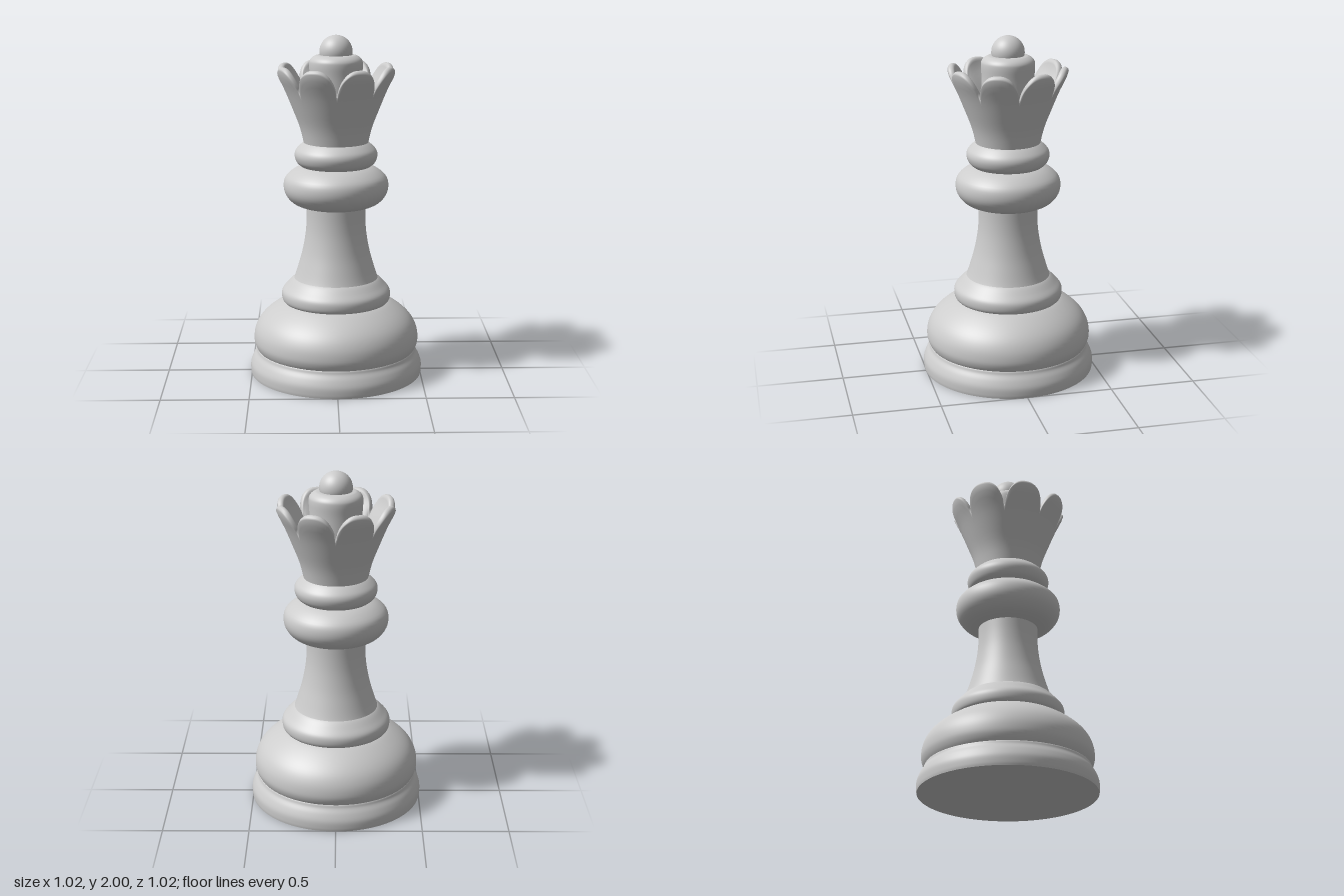
import * as THREE from 'three';

const SEGMENTS = 96;

// Turned part: a smooth curve through [radius, height] points, spun about y.
function turned(name, points, material, samples = 28) {
  const curve = new THREE.SplineCurve(points.map(([r, y]) => new THREE.Vector2(r, y)));
  const profile = curve.getPoints(samples).map((p) => new THREE.Vector2(Math.max(p.x, 0), p.y));
  const mesh = new THREE.Mesh(new THREE.LatheGeometry(profile, SEGMENTS), material);
  mesh.name = name;
  return mesh;
}

// Flared cup whose rim is cut into eight rounded petals.
function crownGeometry() {
  const PETALS = 8, PER_PETAL = 28, ROWS = 12, RIM = 6;
  const BOTTOM = 1.36, FLOOR = 1.48;
  const flare = new THREE.SplineCurve([
    [0.182, 1.36], [0.208, 1.47], [0.25, 1.58], [0.295, 1.69], [0.334, 1.77], [0.35, 1.83],
  ].map(([r, y]) => new THREE.Vector2(r, y))).getPoints(60);
  const outerRadius = (y) => {
    const i = flare.findIndex((p) => p.y >= y);
    if (i < 0) return flare[flare.length - 1].x;
    if (i === 0) return flare[0].x;
    const a = flare[i - 1], b = flare[i];
    return a.x + (b.x - a.x) * (y - a.y) / (b.y - a.y);
  };

  const columns = PETALS * PER_PETAL;
  const positions = [], index = [];
  let rows = 0;
  for (let i = 0; i < columns; i++) {
    const angle = (i / columns) * Math.PI * 2;
    const across = Math.abs(((i % PER_PETAL) / PER_PETAL) * 2 - 1);
    const dome = Math.pow(Math.max(0, 1 - Math.pow(across, 2.5)), 0.7);
    const top = 1.68 + 0.15 * dome;
    const rim = 0.022 + 0.022 * dome;
    const edge = top - rim / 2;
    const section = [];
    // Outside wall
    for (let k = 0; k <= ROWS; k++) {
      const y = BOTTOM + (edge - BOTTOM) * k / ROWS;
      section.push([outerRadius(y), y]);
    }
    // Rounded lip
    const mid = outerRadius(edge) - rim / 2;
    for (let k = 1; k < RIM; k++) {
      const a = Math.PI * k / RIM;
      section.push([mid + Math.cos(a) * rim / 2, edge + Math.sin(a) * rim / 2]);
    }
    // Inside wall down to the cup floor
    for (let k = 0; k <= ROWS; k++) {
      const t = k / ROWS;
      const y = edge + (FLOOR - edge) * t;
      section.push([outerRadius(y) - (rim + (0.06 - rim) * t), y]);
    }
    section.push([0.1, FLOOR - 0.01]);
    rows = section.length;
    for (const [r, y] of section) positions.push(r * Math.sin(angle), y, r * Math.cos(angle));
  }
  for (let i = 0; i < columns; i++) {
    const next = (i + 1) % columns;
    for (let j = 0; j < rows - 1; j++) {
      const a = i * rows + j, b = next * rows + j;
      index.push(a, b, b + 1, a, b + 1, a + 1);
    }
  }
  const geometry = new THREE.BufferGeometry();
  geometry.setAttribute('position', new THREE.Float32BufferAttribute(positions, 3));
  geometry.setIndex(index);
  geometry.computeVertexNormals();
  return geometry;
}

export function createModel() {
  const model = new THREE.Group();
  model.name = 'chessQueen';
  const grey = new THREE.MeshStandardMaterial({ color: 0xcccccc });
  grey.name = 'lightGrey';

  // Flat underside
  const underside = new THREE.Mesh(new THREE.CircleGeometry(0.505, SEGMENTS), grey);
  underside.rotation.x = Math.PI / 2;
  underside.name = 'underside';
  model.add(underside);

  // Foot, body and column
  model.add(
    turned('foot', [[0.505, 0], [0.508, 0.02], [0.507, 0.06], [0.492, 0.1], [0.474, 0.13],
      [0.467, 0.15], [0.45, 0.165]], grey),
    turned('baseBulge', [[0.46, 0.14], [0.477, 0.17], [0.486, 0.21], [0.478, 0.27], [0.447, 0.33],
      [0.39, 0.385], [0.31, 0.435], [0.25, 0.45]], grey),
    turned('lowerCollar', [[0.28, 0.425], [0.31, 0.44], [0.32, 0.47], [0.315, 0.505], [0.285, 0.54],
      [0.25, 0.575], [0.22, 0.59]], grey),
    turned('column', [[0.26, 0.55], [0.245, 0.58], [0.222, 0.65], [0.197, 0.74], [0.179, 0.84],
      [0.172, 0.93], [0.172, 1.02]], grey),
  );

  // Two rings below the crown
  model.add(
    turned('wideRing', [[0.15, 1.005], [0.2, 1.01], [0.255, 1.035], [0.293, 1.08], [0.305, 1.13],
      [0.293, 1.18], [0.25, 1.22], [0.2, 1.245], [0.16, 1.25]], grey),
    turned('narrowRing', [[0.18, 1.235], [0.205, 1.248], [0.228, 1.27], [0.24, 1.305],
      [0.235, 1.335], [0.215, 1.36], [0.185, 1.385], [0.165, 1.39]], grey),
  );

  // Petalled crown
  const crown = new THREE.Mesh(crownGeometry(), grey);
  crown.name = 'crown';
  model.add(crown);

  // Centre post with its rounded shoulder and ball
  model.add(
    turned('post', [[0.15, 1.46], [0.15, 1.6], [0.15, 1.75], [0.154, 1.83], [0.148, 1.86],
      [0.125, 1.88], [0.095, 1.887], [0, 1.888]], grey, 40),
  );
  const ball = new THREE.Mesh(new THREE.SphereGeometry(0.095, 40, 28), grey);
  ball.position.y = 1.905;
  ball.name = 'topBall';
  model.add(ball);

  return model;
}
